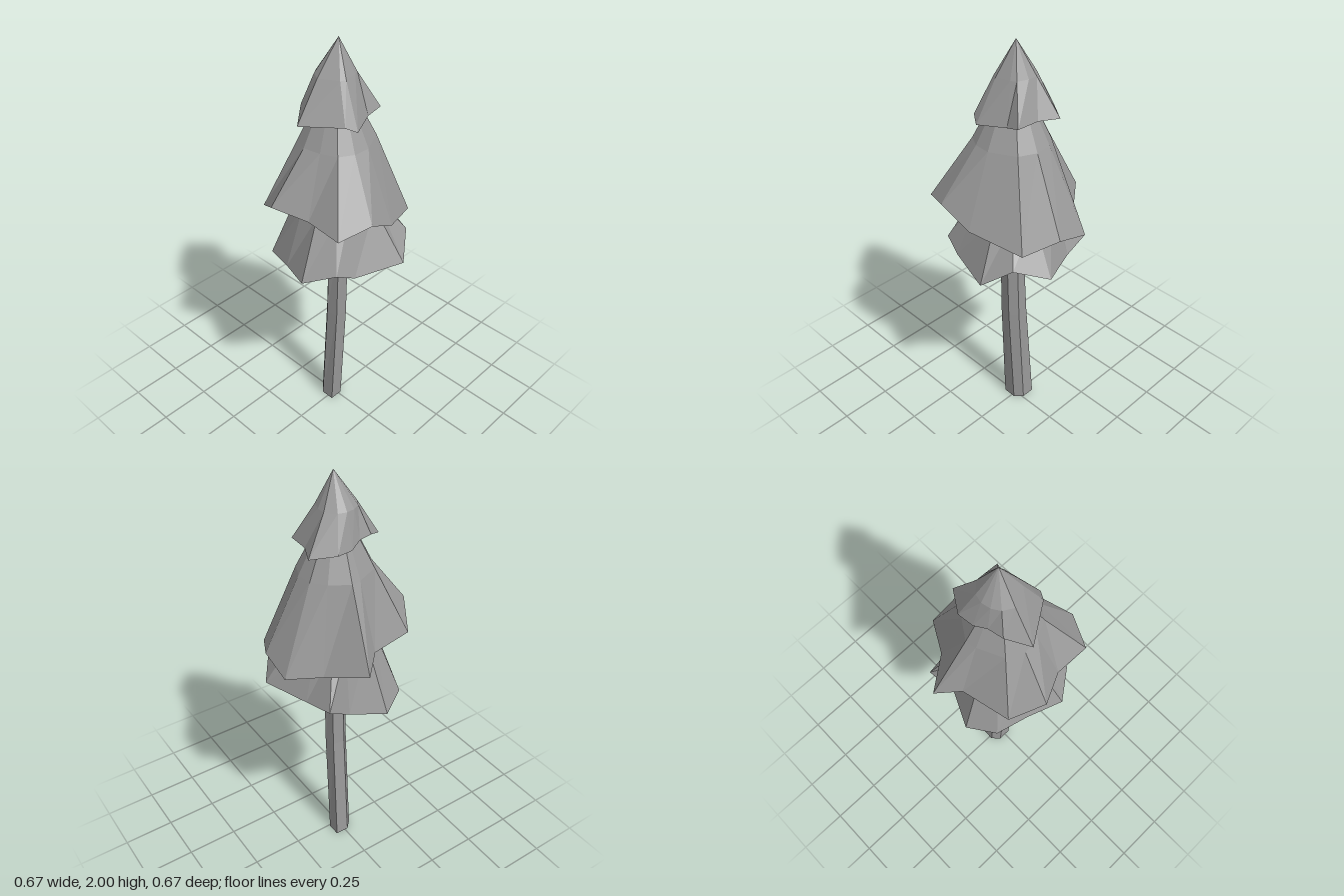
import * as THREE from 'three';

// Skins a stack of equal-length rings, listed bottom to top, with flat faces
function loft(rings) {
  const pos = [];
  const tri = (a, b, c) => {
    if (a.equals(b) || b.equals(c) || a.equals(c)) return;
    for (const p of [a, b, c]) pos.push(p.x, p.y, p.z);
  };
  for (let k = 0; k < rings.length - 1; k++) {
    const lo = rings[k], hi = rings[k + 1], n = lo.length;
    for (let i = 0; i < n; i++) {
      const j = (i + 1) % n;
      tri(lo[i], hi[i], lo[j]);
      tri(hi[i], hi[j], lo[j]);
    }
  }
  const geo = new THREE.BufferGeometry();
  geo.setAttribute('position', new THREE.Float32BufferAttribute(pos, 3));
  geo.computeVertexNormals();
  return geo;
}

// Ragged cone: uneven rim, softer shoulder ring, pointed top, closed underside
function tier({ rim, shoulder, apex, under }) {
  const low = rim.map(p => new THREE.Vector3(...p));
  const [cx, cy, cz, r] = shoulder;
  const mean = low.reduce((s, p) => s + Math.hypot(p.x - cx, p.z - cz), 0) / low.length;
  const mid = low.map(p => {
    const dx = p.x - cx, dz = p.z - cz, d = Math.hypot(dx, dz);
    const q = r * (0.75 + 0.25 * d / mean);
    return new THREE.Vector3(cx + dx / d * q, cy, cz + dz / d * q);
  });
  const point = c => low.map(() => new THREE.Vector3(...c));
  return loft([point(under), low, mid, point(apex)]);
}

const tiers = {
  lowerFoliage: {
    rim: [
      [-0.314, 0.99, 0.103], [-0.25, 0.965, -0.06], [-0.206, 0.945, -0.21], [-0.078, 0.915, -0.289],
      [0.08, 0.935, -0.215], [0.207, 1.02, -0.245], [0.235, 1.0, -0.1], [0.323, 1.02, 0.105],
      [0.225, 1.08, 0.24], [0.11, 0.99, 0.327], [-0.13, 0.995, 0.25], [-0.22, 1.04, 0.225],
    ],
    shoulder: [0, 1.25, 0.01, 0.178], apex: [0, 1.55, 0.01], under: [0, 0.95, 0.02],
  },
  middleFoliage: {
    rim: [
      [-0.336, 1.33, -0.048], [-0.255, 1.24, -0.19], [-0.03, 1.25, -0.245], [0.063, 1.21, -0.336],
      [0.191, 1.165, -0.175], [0.336, 1.165, -0.094], [0.334, 1.21, 0.067], [0.258, 1.165, 0.218],
      [0.03, 1.23, 0.312], [-0.12, 1.31, 0.332], [-0.262, 1.27, 0.274], [-0.262, 1.29, 0.1],
    ],
    shoulder: [0, 1.56, 0.015, 0.168], apex: [0, 1.9, 0.01], under: [0, 1.23, 0],
  },
  upperFoliage: {
    rim: [
      [-0.204, 1.675, -0.014], [-0.112, 1.72, -0.085], [-0.043, 1.72, -0.1], [0.013, 1.7, -0.126],
      [0.087, 1.7, -0.135], [0.188, 1.685, -0.07], [0.148, 1.69, 0.02], [0.143, 1.69, 0.128],
      [0.072, 1.67, 0.123], [-0.05, 1.66, 0.179], [-0.094, 1.685, 0.15],
    ],
    shoulder: [0, 1.85, 0, 0.088], apex: [0.012, 2, 0.01], under: [0, 1.7, 0],
  },
};

// Trunk section: six sides, with two diagonal corners (d) that soften upward
const section = (s, d) => [
  [-d, d], [-0.05 * s, -0.015 * s], [-0.015 * s, -0.05 * s],
  [d, -d], [0.05 * s, 0.015 * s], [0.015 * s, 0.05 * s],
];

export function createModel() {
  const grey = new THREE.MeshStandardMaterial({ color: 0x999999, flatShading: true });
  grey.name = 'grey';
  const tree = new THREE.Group();
  tree.name = 'tree';
  const add = (name, geo) => {
    const mesh = new THREE.Mesh(geo, grey);
    mesh.name = name;
    tree.add(mesh);
  };

  // Slightly bent trunk: [y, centre z, section scale, corner reach]
  const ring = ([y, z, s, d]) => section(s, d).map(p => new THREE.Vector3(p[0], y, z + p[1]));
  add('trunk', loft([
    [0, -0.022, 0, 0], [0, -0.022, 1.03, 0.051], [0.6, 0.013, 1, 0.043],
    [1.05, 0.026, 0.94, 0.037], [1.05, 0.026, 0, 0],
  ].map(ring)));

  // Three overlapping layers of foliage
  for (const [name, shape] of Object.entries(tiers)) add(name, tier(shape));
  return tree;
}
